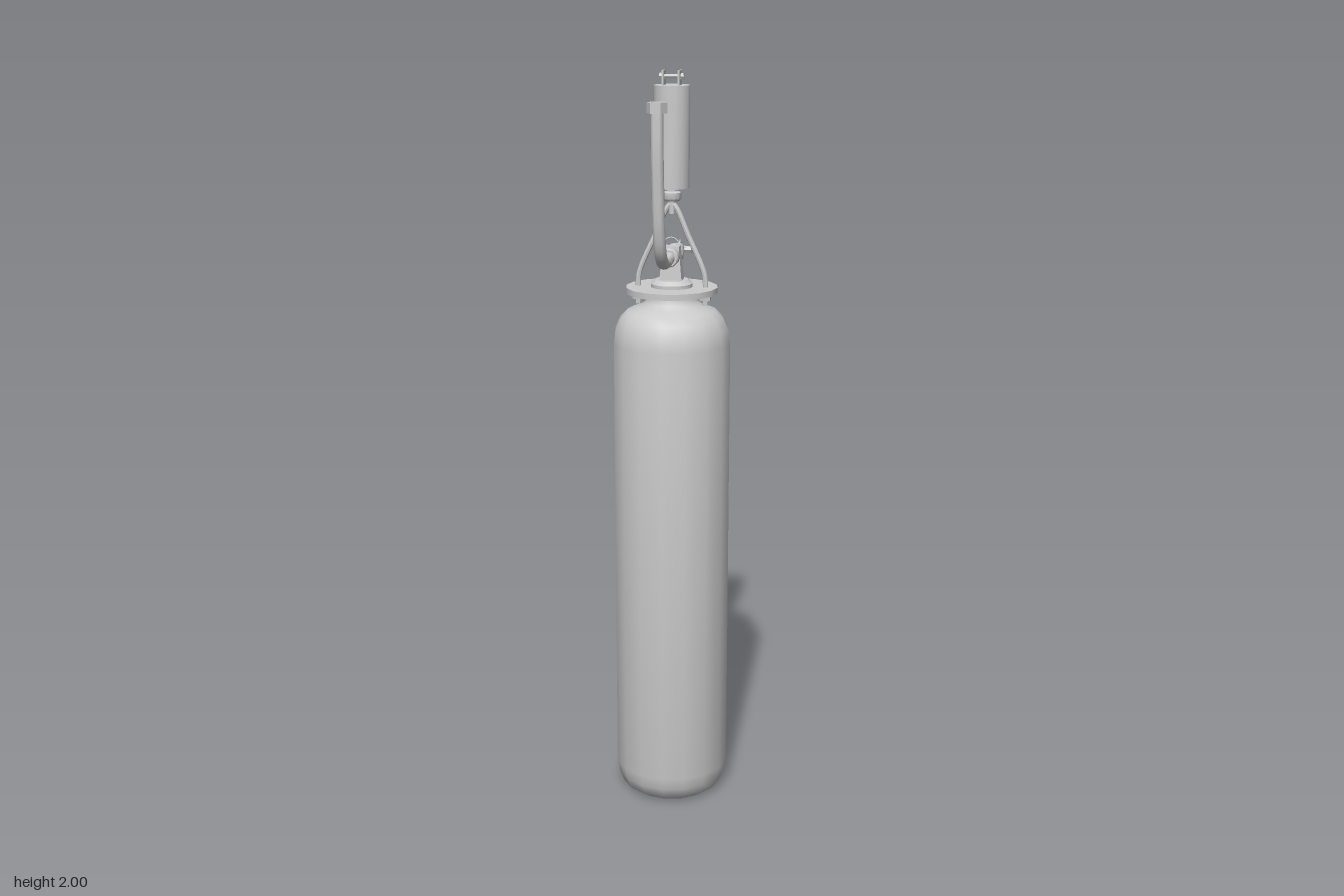
import * as THREE from 'three';
import { toCreasedNormals } from 'three/addons/utils/BufferGeometryUtils.js';

export function createModel() {
  const model = new THREE.Group();
  const mat = new THREE.MeshStandardMaterial({ color: 0xcccccc, side: THREE.DoubleSide });
  const AXIS = -0.026; // z of the tank axis
  const PIPE_Y = 1.525; // height of the valve line

  const add = (name, geo, x = 0, y = 0, z = 0, crease = 0.7) => {
    const mesh = new THREE.Mesh(toCreasedNormals(geo, crease), mat);
    mesh.name = name;
    mesh.position.set(x, y, z);
    model.add(mesh);
    return mesh;
  };
  const lathe = (pts, sides = 16) =>
    new THREE.LatheGeometry(pts.map(([r, y]) => new THREE.Vector2(r, y)), sides);
  const upright = (name, r, y0, y1, x = 0, z = AXIS, sides = 16) =>
    add(name, new THREE.CylinderGeometry(r, r, y1 - y0, sides), x, (y0 + y1) / 2, z);
  const tube = (name, pts, r, steps, sides = 8) =>
    add(name, new THREE.TubeGeometry(
      new THREE.CatmullRomCurve3(pts.map(p => new THREE.Vector3(...p))), steps, r, sides));

  // Tank with rounded shoulder and short neck
  add('tank', lathe([
    [0, 0.012], [0.09, 0.004], [0.115, 0.004], [0.138, 0.02], [0.15, 0.05], [0.157, 0.085],
    [0.157, 1.295], [0.152, 1.33], [0.138, 1.36], [0.118, 1.38], [0.09, 1.39],
    [0.07, 1.402], [0.063, 1.415], [0.063, 1.43], [0, 1.43],
  ]), 0, 0, AXIS, 0.9);

  // Flange and stepped valve seat
  upright('flange', 0.122, 1.427, 1.443);
  add('valveSeat', lathe([[0, 1.443], [0.056, 1.443], [0.056, 1.452], [0.045, 1.462], [0, 1.462]]),
    0, 0, AXIS);

  // Valve body, a block narrowing upward
  const block = new THREE.CylinderGeometry(0.03, 0.042, 0.09, 4, 1);
  block.rotateY(Math.PI / 4);
  block.scale(1, 1, 0.75);
  add('valveBody', block, 0, 1.505, AXIS);

  // Valve line along z: outlet to the front, shutoff to the back
  const line = lathe([
    [0, -0.048], [0.022, -0.048], [0.025, -0.044], [0.025, -0.018], [0.02, -0.014],
    [0.017, -0.014], [0.017, 0.026], [0.022, 0.026], [0.025, 0.03], [0.025, 0.05],
    [0.021, 0.054], [0.009, 0.054], [0.009, 0.068], [0.02, 0.068], [0.02, 0.085],
    [0.016, 0.085], [0.016, 0.112], [0.011, 0.12], [0.011, 0.127], [0, 0.127],
  ], 12);
  line.rotateX(-Math.PI / 2);
  add('valveLine', line, 0, PIPE_Y, AXIS, 0.6);

  // Cross arms with end nuts on the shutoff
  const arm = new THREE.CylinderGeometry(0.005, 0.005, 0.08, 8);
  arm.rotateZ(Math.PI / 2);
  add('shutoffArm', arm, 0, PIPE_Y, -0.125);
  for (const s of [-1, 1]) {
    const nut = new THREE.CylinderGeometry(0.01, 0.01, 0.016, 6);
    nut.rotateZ(Math.PI / 2);
    add('shutoffNut', nut, s * 0.029, PIPE_Y, -0.125);
  }

  // Pull ring, crossbar, tilted lever and tag
  add('pullRing', new THREE.TorusGeometry(0.022, 0.0017, 6, 20), -0.025, PIPE_Y + 0.003, -0.167);
  const crossbar = new THREE.CylinderGeometry(0.003, 0.003, 0.05, 8);
  crossbar.rotateZ(Math.PI / 2);
  add('crossbar', crossbar, 0, PIPE_Y, -0.167);
  add('lever', new THREE.BoxGeometry(0.003, 0.014, 0.074), 0, 1.515, -0.183).rotation.x = -0.75;
  add('tag', new THREE.BoxGeometry(0.003, 0.034, 0.02), -0.03, 1.503, -0.166).rotation.x = 0.6;
  add('spindle', new THREE.BoxGeometry(0.008, 0.008, 0.025), 0, PIPE_Y, -0.162);

  // Outlet hose rising at the front, ending in an open hexagonal nut
  tube('hose', [
    [0, PIPE_Y, 0.015], [0, 1.522, 0.077], [0, 1.53, 0.115], [0, 1.56, 0.146], [0, 1.615, 0.165],
    [0, 1.735, 0.181], [0, 1.83, 0.189], [0, 1.915, 0.19],
  ], 0.016, 32, 12);
  const hex = new THREE.Shape();
  for (let i = 0; i < 6; i++) {
    const a = (i * Math.PI) / 3;
    hex[i ? 'lineTo' : 'moveTo'](0.026 * Math.cos(a), 0.026 * Math.sin(a));
  }
  hex.holes.push(new THREE.Path().absarc(0, 0, 0.015, 0, Math.PI * 2, true));
  const hexGeo = new THREE.ExtrudeGeometry(hex, { depth: 0.026, bevelEnabled: false, curveSegments: 8 });
  hexGeo.rotateX(-Math.PI / 2);
  add('hoseNut', hexGeo, 0, 1.91, 0.19);

  // Bridle legs bolted through the flange
  for (const s of [-1, 1]) {
    tube('bridleLeg', [
      [0, 1.662, AXIS], [s * 0.012, 1.65, AXIS], [s * 0.045, 1.575, AXIS], [s * 0.078, 1.503, AXIS],
      [s * 0.088, 1.472, AXIS], [s * 0.09, 1.44, AXIS], [s * 0.09, 1.4, AXIS],
    ], 0.007, 24);
    upright('bridleNut', 0.016, 1.408, 1.427, s * 0.09, AXIS, 6);
    upright('bridleBolt', 0.008, 1.395, 1.41, s * 0.09, AXIS, 8);
  }

  // Hanging canister with its lower coupling
  upright('canister', 0.047, 1.702, 1.963);
  add('coupling', lathe([
    [0, 1.635], [0.008, 1.635], [0.008, 1.668], [0.02, 1.668], [0.025, 1.674],
    [0.025, 1.69], [0.015, 1.694], [0.015, 1.703],
  ], 12), 0, 0, AXIS);

  // Twin lugs and hanging pin on the canister
  const lug = new THREE.Shape([[-0.02, 0], [0.02, 0], [0.02, 0.037], [-0.02, 0.037]]
    .map(p => new THREE.Vector2(...p)));
  lug.holes.push(new THREE.Path().absarc(0, 0.022, 0.007, 0, Math.PI * 2, true));
  for (const s of [-1, 1]) {
    const lugGeo = new THREE.ExtrudeGeometry(lug, { depth: 0.005, bevelEnabled: false, curveSegments: 8 });
    lugGeo.translate(0, 0, -0.0025);
    lugGeo.rotateY(Math.PI / 2);
    add('lug', lugGeo, s * 0.021, 1.963, AXIS);
    const head = new THREE.CylinderGeometry(0.009, 0.009, 0.007, 6);
    head.rotateZ(Math.PI / 2);
    add('pinHead', head, s * 0.028, 1.985, AXIS);
  }
  const pin = new THREE.CylinderGeometry(0.005, 0.005, 0.064, 8);
  pin.rotateZ(Math.PI / 2);
  add('hangingPin', pin, 0, 1.985, AXIS);

  return model;
}
